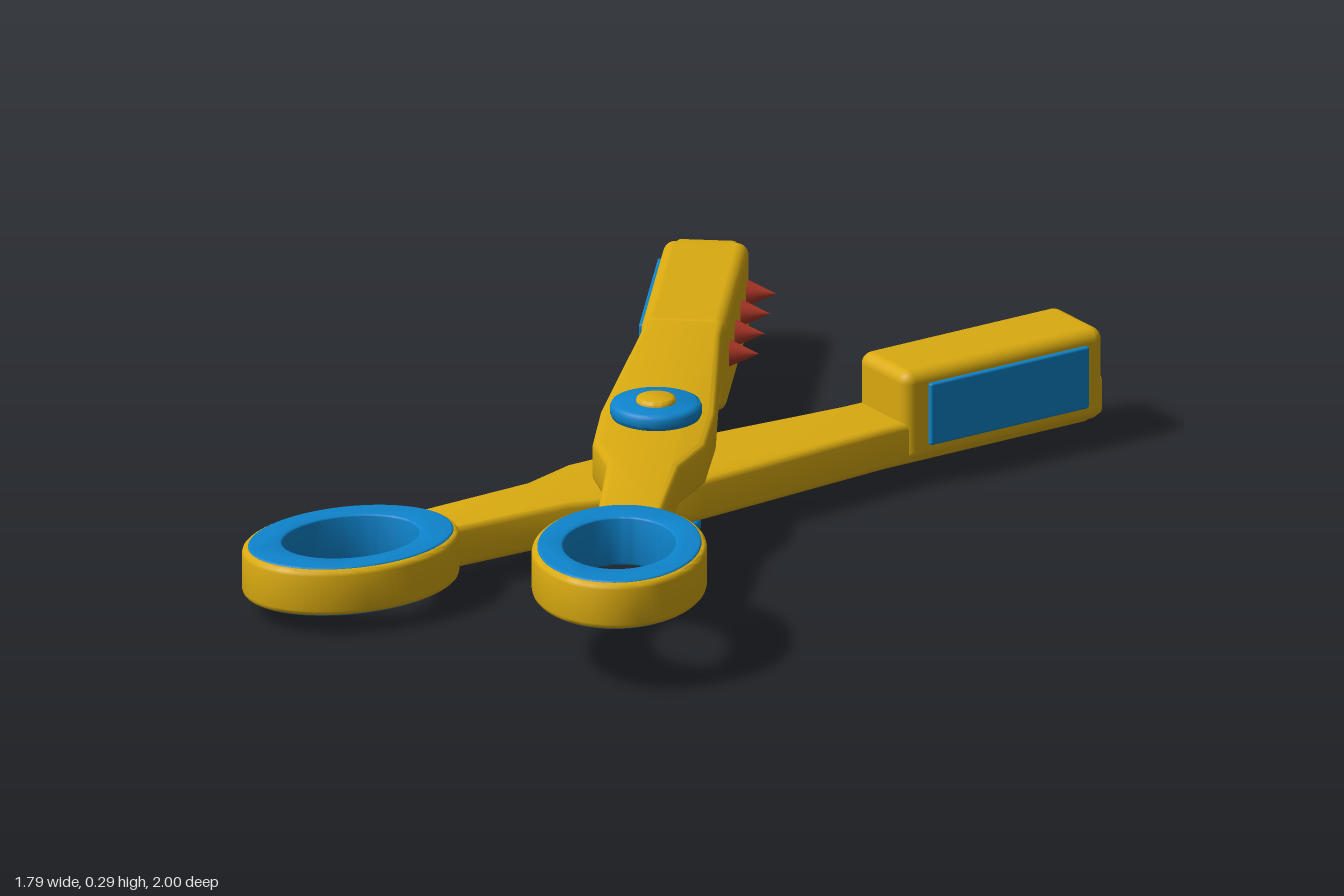
import * as THREE from 'three';
import { toCreasedNormals } from 'three/addons/utils/BufferGeometryUtils.js';
import { RoundedBoxGeometry } from 'three/addons/geometries/RoundedBoxGeometry.js';

const material = (name, color) => {
  const m = new THREE.MeshStandardMaterial({ color });
  m.name = name;
  return m;
};

export function createModel() {
  const yellow = material('yellow plastic', 0xd9aa10);
  const blue = material('blue plastic', 0x0e84cc);
  const red = material('red teeth', 0xb03828);

  const model = new THREE.Group();
  model.name = 'toothedTongs';

  const add = (parent, name, geometry, mat, x = 0, y = 0, z = 0) => {
    const mesh = new THREE.Mesh(geometry, mat);
    mesh.name = name;
    mesh.position.set(x, y, z);
    parent.add(mesh);
    return mesh;
  };

  // Flat plan shape raised to a bevelled slab; shape y runs along -z
  const slab = (shape, height, bevel) => {
    const g = new THREE.ExtrudeGeometry(shape, {
      depth: height - 2 * bevel, bevelThickness: bevel, bevelSize: bevel,
      bevelOffset: -bevel, bevelSegments: 3, curveSegments: 40,
    });
    g.translate(0, 0, bevel).rotateX(-Math.PI / 2);
    return toCreasedNormals(g, 0.6);
  };

  const ellipseRing = (rx, ry, holeX, holeY) => {
    const s = new THREE.Shape().absellipse(0, 0, rx, ry, 0, Math.PI * 2);
    s.holes.push(new THREE.Path().absellipse(0, 0, holeX, holeY, 0, Math.PI * 2, true));
    return s;
  };

  // Arm half outline: half width, distance along the arm
  const half = [[0.065, -0.53], [0.074, -0.265], [0.114, -0.14], [0.116, 0.04],
    [0.082, 0.5], [0.08, 0.99], [0.06, 1.04]];
  const outline = [...half, ...half.map(([w, v]) => [-w, v]).reverse()];
  const armShape = new THREE.Shape(outline.map(([w, v]) => new THREE.Vector2(w, v)));

  // One arm: inner is the side (+1 or -1) that carries the teeth
  const makeArm = (name, baseY, angle, inner) => {
    const arm = new THREE.Group();
    arm.name = name;
    arm.position.set(-0.035, 0, 0.034);
    arm.rotation.y = -THREE.MathUtils.degToRad(angle);
    add(arm, 'armBar', slab(armShape, 0.09, 0.014), yellow, 0, baseY + 0.005);

    // Finger loop with blue lining
    add(arm, 'fingerLoop', slab(ellipseRing(0.175, 0.235, 0.135, 0.19), 0.097, 0.012),
      yellow, 0, baseY, 0.74);
    add(arm, 'loopLining', slab(ellipseRing(0.164, 0.223, 0.113, 0.148), 0.103, 0.004),
      blue, 0, baseY - 0.003, 0.74);

    // Jaw block, side plate and teeth
    add(arm, 'jaw', new RoundedBoxGeometry(0.172, 0.195, 0.485, 4, 0.025),
      yellow, 0, 0.147, -0.788);
    add(arm, 'jawPlate', new RoundedBoxGeometry(0.014, 0.132, 0.385, 2, 0.005),
      blue, -inner * 0.088, 0.15, -0.794);
    for (let i = 0; i < 4; i++) {
      const tooth = add(arm, 'tooth', new THREE.ConeGeometry(0.03, 0.065, 20), red,
        inner * 0.112, 0.15, -(0.632 + i * 0.116));
      tooth.rotation.z = -inner * Math.PI / 2;
    }
    model.add(arm);
  };
  makeArm('upperArm', 0.147, 10, 1);
  makeArm('lowerArm', 0.043, 60, -1);

  // Pivot: rounded washers on a central pin
  const pivot = new THREE.Group();
  pivot.name = 'pivot';
  pivot.position.set(-0.035, 0, 0.034);
  model.add(pivot);
  const disc = (r, h, b) => {
    const pts = [[0, 0], [r - b, 0], [r - b * 0.3, b * 0.3], [r, b],
      [r, h - b], [r - b * 0.3, h - b * 0.3], [r - b, h], [0, h]];
    const g = new THREE.LatheGeometry(pts.map(([x, y]) => new THREE.Vector2(x, y)), 40);
    return toCreasedNormals(g, 0.9);
  };
  add(pivot, 'bottomWasher', disc(0.09, 0.034, 0.01), blue);
  add(pivot, 'middleWasher', disc(0.1, 0.03, 0.006), blue, 0, 0.128);
  add(pivot, 'topWasher', disc(0.092, 0.034, 0.01), blue, 0, 0.243);
  add(pivot, 'pin', disc(0.04, 0.267, 0.006), yellow, 0, 0.02);

  return model;
}
